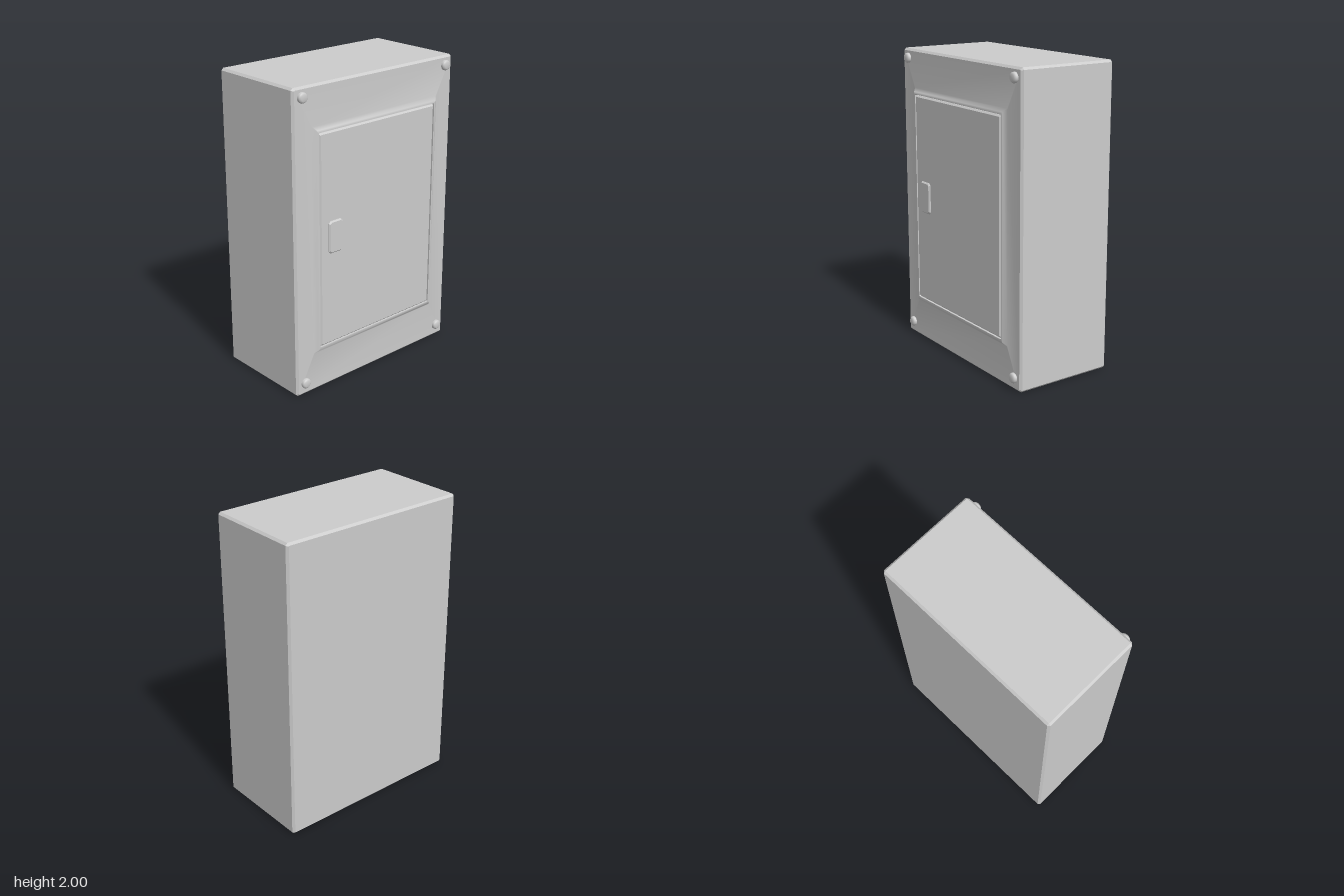
import * as THREE from 'three';

const material = new THREE.MeshStandardMaterial({ color: 0xcccccc });

// Rectangle with cut corners, counter-clockwise seen from the front
function rect(x0, x1, y0, y1, z, cut) {
  return [
    [x0 + cut, y0, z], [x1 - cut, y0, z], [x1, y0 + cut, z], [x1, y1 - cut, z],
    [x1 - cut, y1, z], [x0 + cut, y1, z], [x0, y1 - cut, z], [x0, y0 + cut, z],
  ];
}

// Skins a series of loops, with optional back and front caps
function loft(name, loops, { backCap = false, frontCap = false, smooth = false } = {}) {
  const n = 8, index = [], last = (loops.length - 1) * n;
  for (let k = 0; k < loops.length - 1; k++) {
    for (let i = 0; i < n; i++) {
      const a = k * n + i, b = k * n + (i + 1) % n;
      index.push(a, b, b + n, a, b + n, a + n);
    }
  }
  for (let i = 1; i < n - 1; i++) {
    if (backCap) index.push(0, i + 1, i);
    if (frontCap) index.push(last, last + i, last + i + 1);
  }
  let geometry = new THREE.BufferGeometry();
  geometry.setAttribute('position', new THREE.Float32BufferAttribute(loops.flat(2), 3));
  geometry.setIndex(index);
  if (!smooth) geometry = geometry.toNonIndexed();
  geometry.computeVertexNormals();
  const mesh = new THREE.Mesh(geometry, material);
  mesh.name = name;
  return mesh;
}

// Block with chamfered front edges
function plate(name, x0, x1, y0, y1, z0, z1, bevel, cut) {
  return loft(name, [
    rect(x0, x1, y0, y1, z0, cut),
    rect(x0, x1, y0, y1, z1 - bevel, cut),
    rect(x0 + bevel, x1 - bevel, y0 + bevel, y1 - bevel, z1, cut * 0.7),
  ], { frontCap: true });
}

export function createModel() {
  const model = new THREE.Group();
  model.name = 'electricalCabinet';

  const W = 0.665, back = -0.362, front = 0.325, c = 0.014;
  const body = (inset, z) => rect(-W + inset, W - inset, inset, 2 - inset, z, inset ? 0.004 : c);

  // Chamfered box, open at the front
  model.add(loft('cabinetBody', [
    body(c, back), body(0, back + c), body(0, front - c), body(c, front),
  ], { backCap: true }));

  // Front panel swelling softly into a raised door surround
  const rim = rect(-0.487, 0.487, 0.303, 1.71, 0.347, 0.005);
  model.add(loft('frontCover', [
    body(c, front),
    rect(-0.525, 0.525, 0.262, 1.748, front, 0.005),
    rect(-0.503, 0.503, 0.284, 1.726, 0.347, 0.005),
    rim,
  ], { smooth: true }));

  // Shallow recess around the door
  model.add(loft('doorRecess', [
    rim, rect(-0.487, 0.487, 0.303, 1.71, 0.332, 0.005),
  ], { frontCap: true }));

  model.add(plate('door', -0.483, 0.483, 0.308, 1.705, 0.332, 0.349, 0.01, 0.006));
  model.add(plate('doorLatch', -0.42, -0.31, 0.927, 1.138, 0.347, 0.362, 0.008, 0.014));

  // Domed screws in the four corners
  const profile = [[0.033, 0], [0.033, 0.012], [0.03, 0.018], [0.021, 0.025], [0, 0.025]]
    .map(([r, h]) => new THREE.Vector2(r, h));
  const screwGeometry = new THREE.LatheGeometry(profile, 24).rotateX(Math.PI / 2);
  for (const x of [-0.597, 0.597]) {
    for (const y of [0.082, 1.938]) {
      const screw = new THREE.Mesh(screwGeometry, material);
      screw.name = 'coverScrew';
      screw.position.set(x, y, front);
      model.add(screw);
    }
  }
  return model;
}
